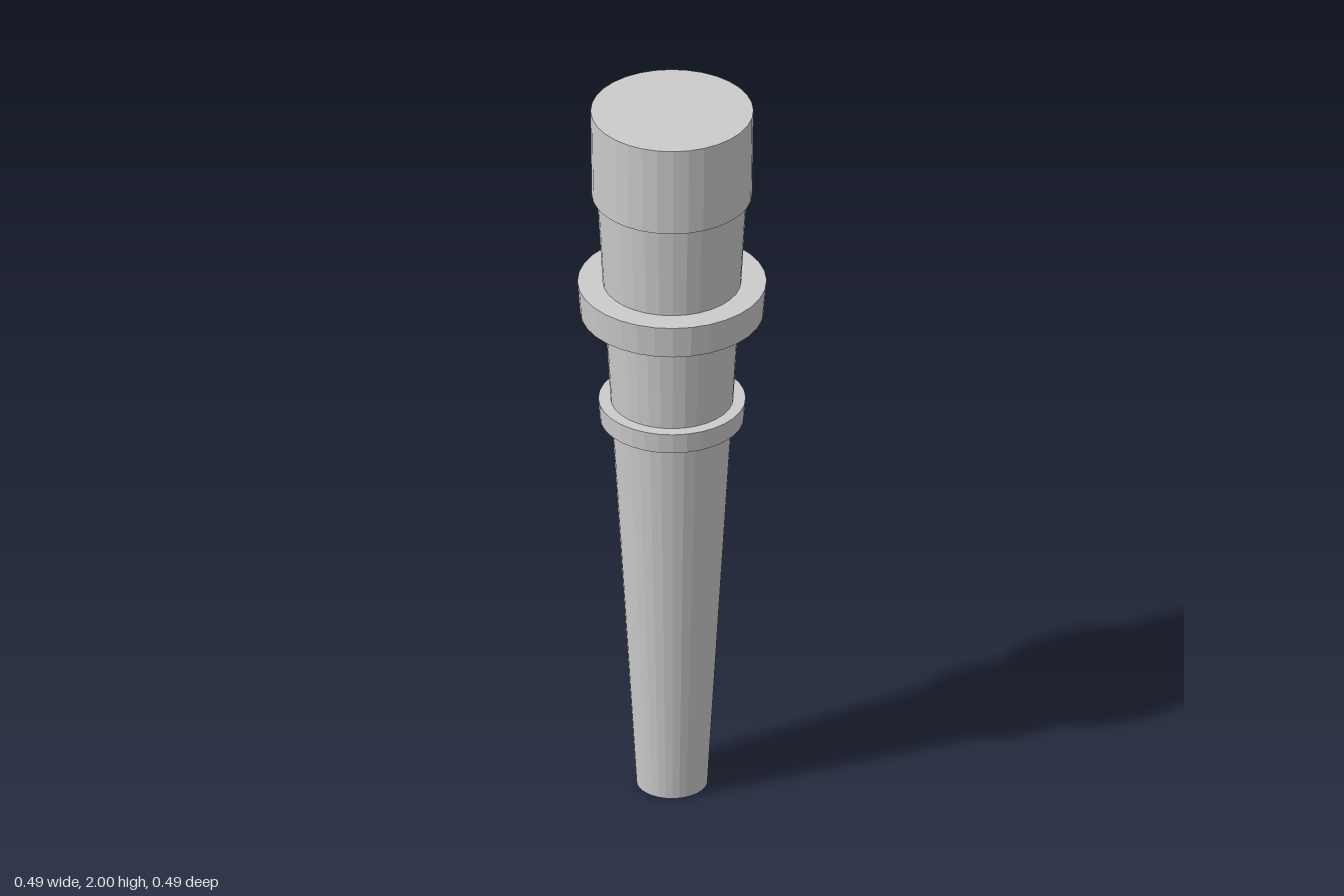
import * as THREE from 'three';

const SIDES = 32;

export function createModel() {
  const model = new THREE.Group();
  model.name = 'taperedPeg';
  const material = new THREE.MeshStandardMaterial({ color: 0xcccccc, flatShading: true });

  // Round section between two heights, with its own taper
  function addSection(name, bottomY, topY, bottomRadius, topRadius) {
    const geometry = new THREE.CylinderGeometry(topRadius, bottomRadius, topY - bottomY, SIDES);
    const mesh = new THREE.Mesh(geometry, material);
    mesh.name = name;
    mesh.position.y = (bottomY + topY) / 2;
    model.add(mesh);
  }

  // Long tapered shaft, running up into the cap
  addSection('shaft', 0, 1.76, 0.092, 0.194);

  // Thin lower ring and wide upper collar
  addSection('lowerRing', 1.086, 1.143, 0.186, 0.19);
  addSection('upperCollar', 1.402, 1.492, 0.237, 0.244);

  // Broad cap at the top
  addSection('cap', 1.752, 2, 0.207, 0.21);

  return model;
}
